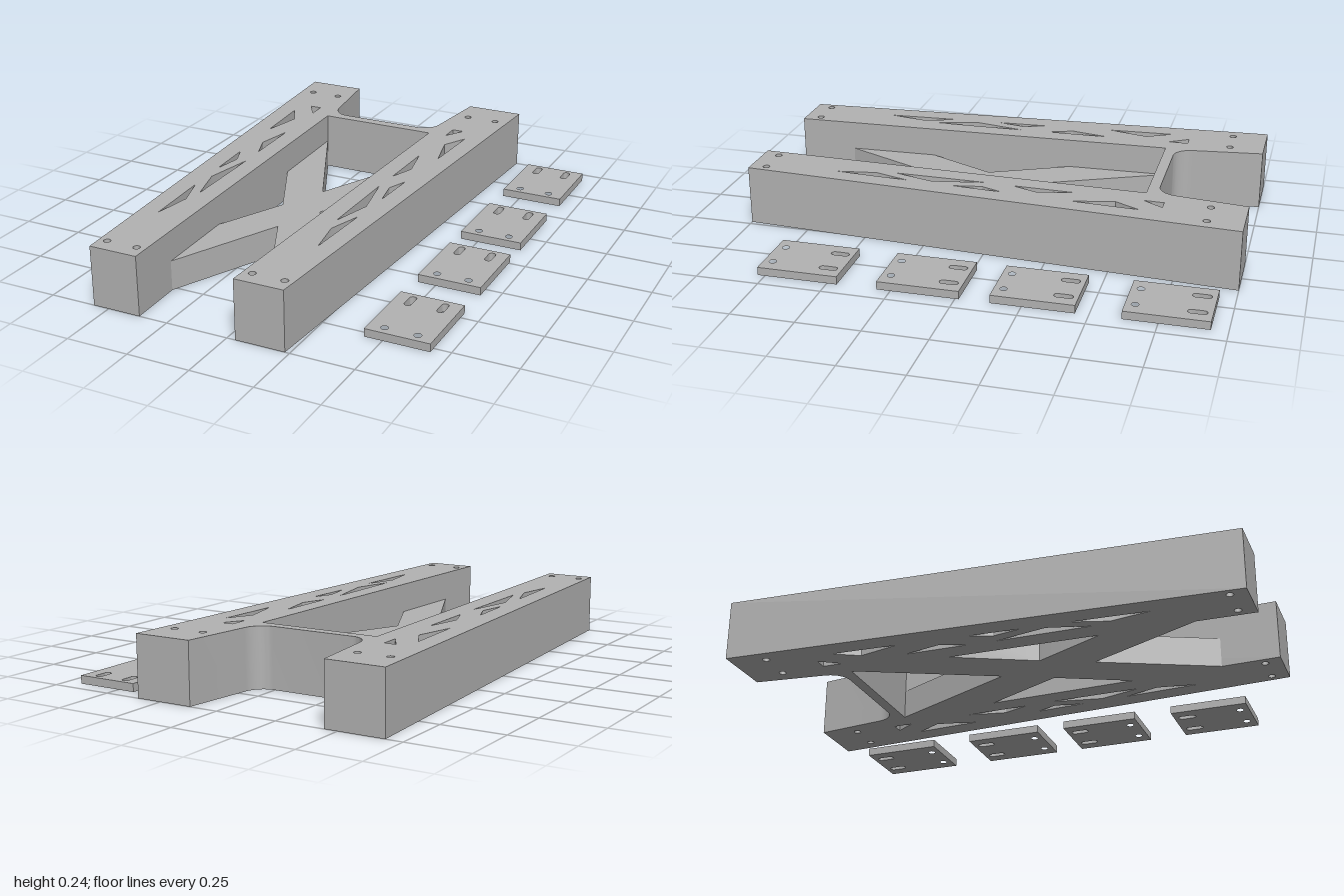
import * as THREE from 'three';
import { toCreasedNormals } from 'three/addons/utils/BufferGeometryUtils.js';

const CX = -0.166; // centre line of the frame
const grey = new THREE.MeshStandardMaterial({ color: 0xb2b2b2 });
grey.name = 'grey';

// Plan shapes are drawn as (x, -z) and extruded upwards from y = 0
function slab(name, shape, height) {
  const geo = new THREE.ExtrudeGeometry(shape, { depth: height, bevelEnabled: false, curveSegments: 12 });
  geo.rotateX(-Math.PI / 2);
  const mesh = new THREE.Mesh(toCreasedNormals(geo, 0.5), grey);
  mesh.name = name;
  return mesh;
}
const polygon = (points) => new THREE.Shape(points.map(([x, z]) => new THREE.Vector2(x, -z)));
const roundHole = (x, z, r) => new THREE.Path().absarc(x, -z, r, 0, Math.PI * 2, true);
const slotHole = (x, z0, z1, r) => {
  const p = new THREE.Path();
  p.absarc(x, -z0 - r, r, 0, Math.PI, false);
  p.absarc(x, -z1 + r, r, Math.PI, Math.PI * 2, false);
  p.closePath();
  return p;
};
// Inner face of a rail, as distance from the centre line
const inner = (z) => 0.247 - (z + 0.6) * 0.0294;

// Two tapering rails joined by a filleted crossbar
function railFrame() {
  const s = new THREE.Shape();
  s.moveTo(0.398, -1);
  s.lineTo(0.518, 1);
  s.lineTo(0.282, 1);
  s.lineTo(0.247, 0.715);
  s.bezierCurveTo(0.242, 0.675, 0.212, 0.643, 0.172, 0.643);
  s.lineTo(-0.172, 0.643);
  s.bezierCurveTo(-0.212, 0.643, -0.242, 0.675, -0.247, 0.715);
  s.lineTo(-0.282, 1);
  s.lineTo(-0.518, 1);
  s.lineTo(-0.398, -1);
  s.lineTo(-inner(1), -1);
  s.lineTo(-inner(-0.6), 0.6);
  s.lineTo(inner(-0.6), 0.6);
  s.lineTo(inner(1), -1);
  s.closePath();

  // Triangular lightening cut-outs and bolt holes on both rails
  const cutouts = [
    [[0.373, -0.682], [0.326, -0.682], [0.324, -0.603]],
    [[0.415, -0.6], [0.363, -0.5], [0.4, -0.336]],
    [[0.316, -0.336], [0.347, -0.183], [0.31, -0.082]],
    [[0.38, -0.05], [0.348, 0.034], [0.369, 0.15]],
    [[0.305, 0.034], [0.345, 0.24], [0.3, 0.405]],
    [[0.359, 0.341], [0.316, 0.479], [0.342, 0.638]],
  ];
  const bolts = [[0.326, -0.86], [0.455, -0.86], [0.239, 0.934], [0.367, 0.934]];
  for (const side of [1, -1]) {
    for (const c of cutouts) s.holes.push(polygon(c.map(([x, z]) => [x * side, z])));
    for (const [x, z] of bolts) s.holes.push(roundHole(x * side, z, 0.014));
  }
  return slab('railFrame', s, 0.24);
}

// Half-height cross brace between the rails
function crossBrace() {
  const right = [
    [0, -0.066], [inner(-0.6), -0.6], [inner(-0.193), -0.193], [0.085, 0.124],
    [inner(0.405), 0.405], [inner(0.77), 0.77], [0, 0.32],
  ];
  const left = right.slice(1, -1).reverse().map(([x, z]) => [-x, z]);
  return slab('crossBrace', polygon([...right, ...left]), 0.12);
}

// Loose mounting plate with two slots and two round holes
function mountingPlate() {
  const w = 0.127, l = 0.159;
  const s = polygon([[-w, -l], [w, -l], [w, l], [-w, l]]);
  for (const x of [-0.064, 0.064]) {
    s.holes.push(slotHole(x, -0.14, -0.067, 0.014), roundHole(x, 0.122, 0.014));
  }
  return slab('mountingPlate', s, 0.032);
}

export function createModel() {
  const model = new THREE.Group();
  model.name = 'frameKit';

  const frame = new THREE.Group();
  frame.name = 'frame';
  frame.position.x = CX;
  frame.add(railFrame(), crossBrace());
  model.add(frame);

  // Row of plates beside the frame
  for (const z of [-0.778, -0.29, 0.145, 0.62]) {
    const plate = mountingPlate();
    plate.position.set(0.555, 0, z);
    model.add(plate);
  }
  return model;
}
